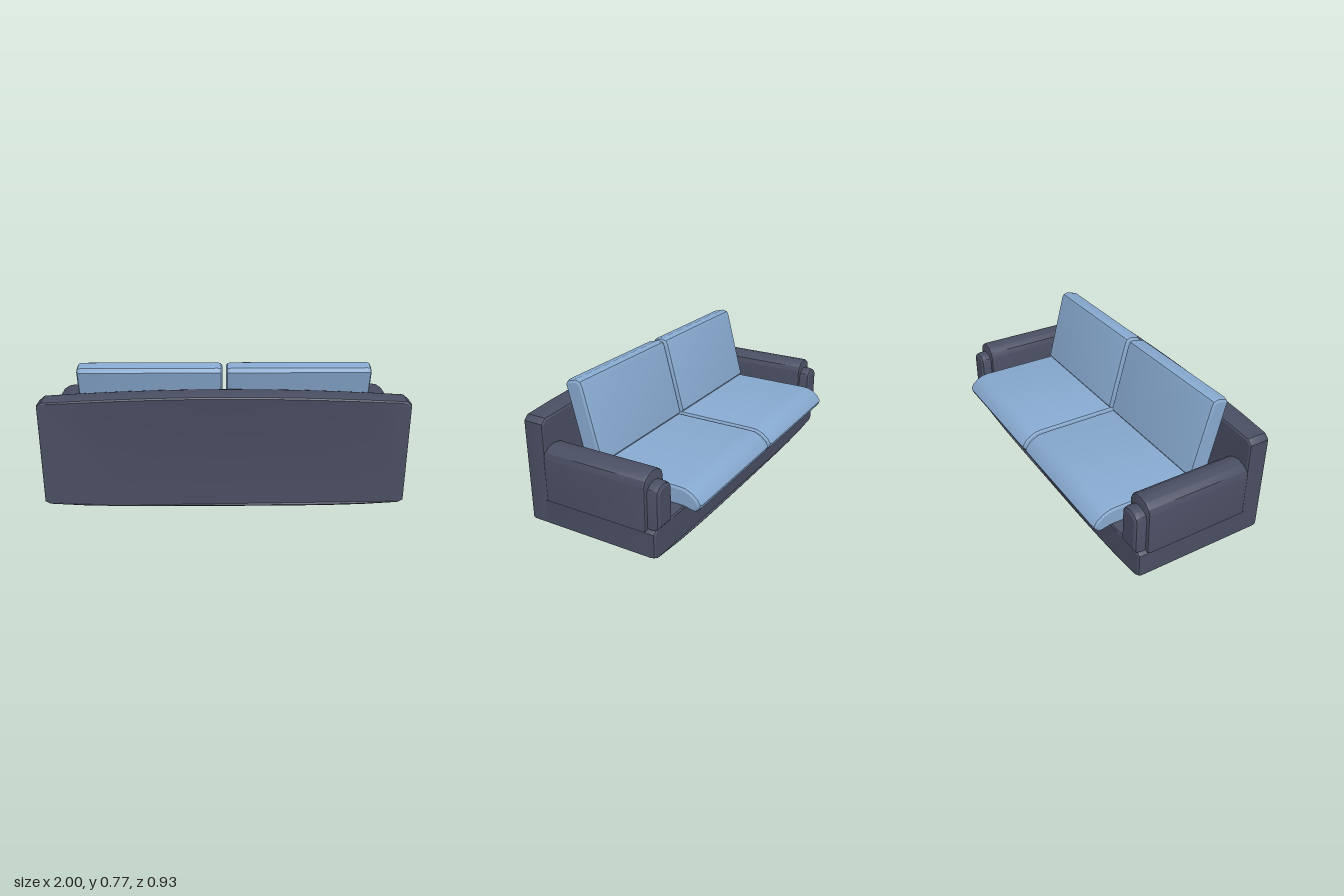
import * as THREE from 'three';
import { toCreasedNormals } from 'three/addons/utils/BufferGeometryUtils.js';

const frameMat = new THREE.MeshStandardMaterial({ color: 0x4a4e62 });
const cushionMat = new THREE.MeshStandardMaterial({ color: 0x86a8ce });

// Bevelled prism of an outline, running along z from 0 to depth
function prism(points, depth, bevelSize, bevelThickness = bevelSize) {
  const shape = new THREE.Shape(points.map(([x, y]) => new THREE.Vector2(x, y)));
  return new THREE.ExtrudeGeometry(shape, {
    depth: depth - 2 * bevelThickness, bevelEnabled: true, bevelSegments: 2,
    bevelSize, bevelThickness, bevelOffset: -bevelSize,
  }).translate(0, 0, bevelThickness);
}

// Full-width block whose top and bottom bow gently, with one end face bulging out in z
function bowedBlock(yEnd, yMid, z0, z1, bulgeSide) {
  const w = 0.993, n = 10, chamfer = 0.03, points = [];
  for (let i = 0; i <= n; i++) {
    const t = -1 + 2 * i / n;
    points.push([t * (w - chamfer), 0.012 * t ** 4]);
  }
  points.push([w, 0.028], [w, yEnd - 0.025]);
  for (let i = n; i >= 0; i--) {
    const t = -1 + 2 * i / n;
    points.push([t * (w - chamfer), yMid + (yEnd - yMid) * t * t]);
  }
  points.push([-w, yEnd - 0.025], [-w, 0.028]);
  const geo = prism(points, z1 - z0, 0.012, 0.02).translate(0, 0, z0);
  const p = geo.attributes.position, middle = (z0 + z1) / 2;
  for (let i = 0; i < p.count; i++) {
    if ((p.getZ(i) - middle) * bulgeSide > 0) {
      p.setZ(i, p.getZ(i) - bulgeSide * 0.016 * p.getX(i) ** 4);
    }
  }
  return geo;
}

// Outline of an arm: straight sides and a rolled top
function armOutline(halfWidth, bottom, top, roll) {
  const points = [[-halfWidth, bottom], [halfWidth, bottom]];
  for (let i = 0; i <= 6; i++) {
    const a = Math.PI * i / 6;
    points.push([halfWidth * Math.cos(a), top - roll + roll * Math.sin(a)]);
  }
  return points;
}

// Side outlines of the cushions, as [forward, up]
const seatOutline = [
  [-0.28, 0.222], [0.36, 0.222], [0.405, 0.212], [0.432, 0.209], [0.456, 0.233],
  [0.465, 0.257], [0.447, 0.287], [0.413, 0.315], [0.375, 0.331], [0.34, 0.335],
  [-0.28, 0.335], [-0.3, 0.31], [-0.3, 0.245],
];
const backOutline = [
  [-0.215, 0.303], [-0.135, 0.318], [-0.122, 0.345], [-0.225, 0.742],
  [-0.237, 0.766], [-0.266, 0.775], [-0.322, 0.76], [-0.336, 0.738], [-0.235, 0.325],
];

export function createModel() {
  const sofa = new THREE.Group();
  sofa.name = 'sofa';
  const add = (name, geometry, material, x = 0) => {
    const mesh = new THREE.Mesh(toCreasedNormals(geometry, 0.45), material);
    mesh.name = name;
    mesh.position.x = x;
    sofa.add(mesh);
  };

  // Frame: the seat side is towards -z
  add('backrest', bowedBlock(0.615, 0.648, 0.325, 0.463, 1), frameMat);
  add('base', bowedBlock(0.185, 0.212, -0.342, 0.36, -1), frameMat);

  for (const [side, s] of [['left', 1], ['right', -1]]) {
    // Arms with a smaller pad on the front end
    add(side + 'Arm',
      prism(armOutline(0.085, 0.165, 0.466, 0.06), 0.615, 0.014).translate(0, 0, -0.282),
      frameMat, s * 0.915);
    add(side + 'ArmPad',
      prism(armOutline(0.065, 0.178, 0.412, 0.045), 0.12, 0.018, 0.03).translate(0, 0, -0.344),
      frameMat, s * 0.915);

    // Seat and back cushions, swept across x
    const sweep = outline => prism(outline, 0.78, 0.018, 0.025)
      .translate(0, 0, -0.39).rotateY(Math.PI / 2);
    add(side + 'SeatCushion', sweep(seatOutline), cushionMat, s * 0.4);
    add(side + 'BackCushion', sweep(backOutline), cushionMat, s * 0.4);
  }
  return sofa;
}
